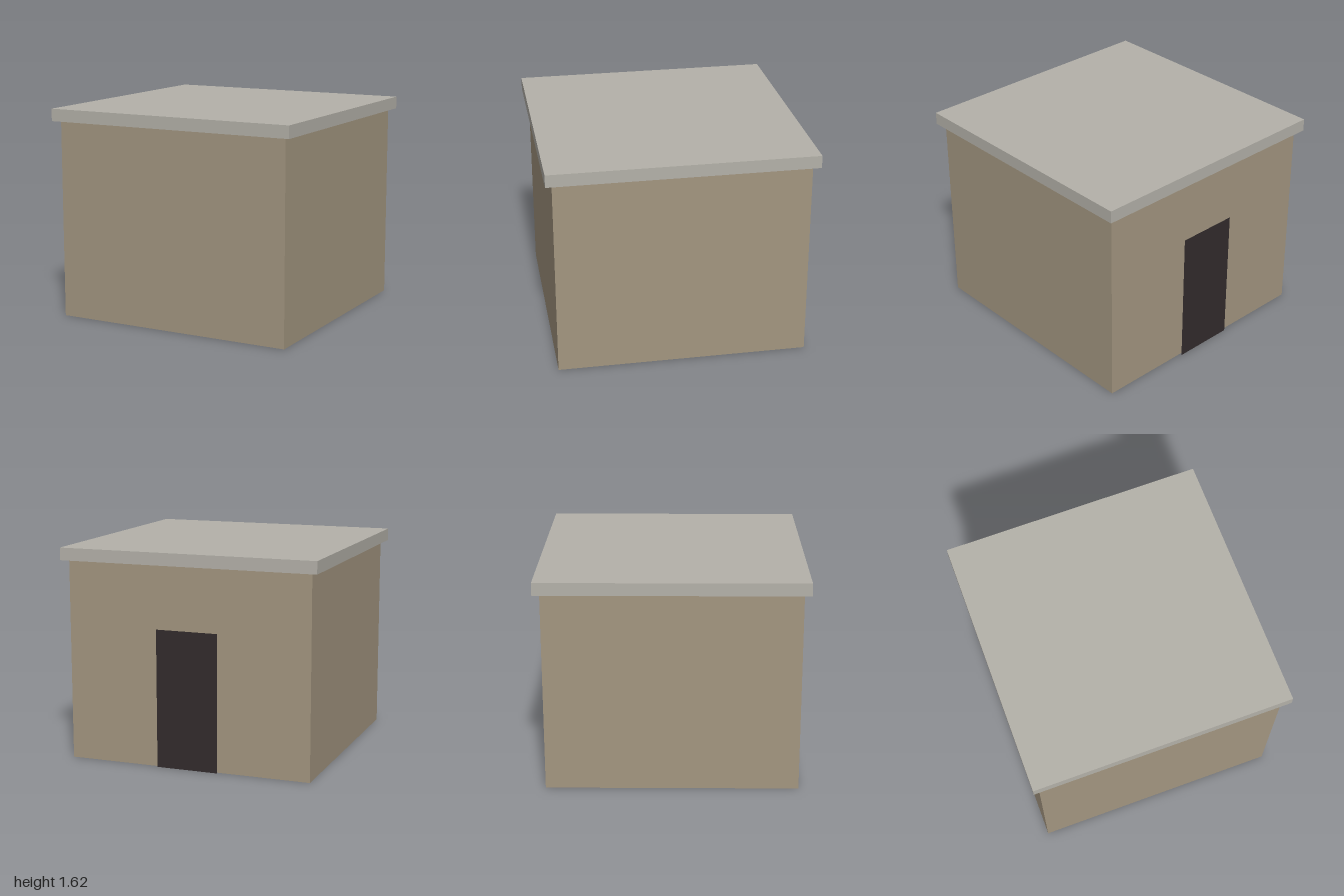
import * as THREE from 'three';

export function createModel() {
  const wallPaint = new THREE.MeshStandardMaterial({ color: 0xa39680, side: THREE.DoubleSide });
  wallPaint.name = 'tan wall';
  const roofPaint = new THREE.MeshStandardMaterial({ color: 0xb4b1a9 });
  roofPaint.name = 'grey roof';
  const doorPaint = new THREE.MeshStandardMaterial({ color: 0x322b2c, side: THREE.DoubleSide });
  doorPaint.name = 'dark door';

  const half = 0.95, wallHeight = 1.53, roofThickness = 0.095;
  const model = new THREE.Group();
  model.name = 'hut';

  const add = (name, geometry, material, parent = model) => {
    const mesh = new THREE.Mesh(geometry, material);
    mesh.name = name;
    parent.add(mesh);
    return mesh;
  };

  // Four thin walls around a room that is open underneath
  const walls = new THREE.Group();
  walls.name = 'walls';
  model.add(walls);
  ['frontWall', 'leftWall', 'backWall', 'rightWall'].forEach((name, i) => {
    const panel = new THREE.PlaneGeometry(half * 2, wallHeight)
      .translate(0, wallHeight / 2, half)
      .rotateY(i * Math.PI / 2);
    add(name, panel, wallPaint, walls);
  });

  // Flat roof slab with a small overhang
  add('roof', new THREE.BoxGeometry(2, roofThickness, 2), roofPaint)
    .position.y = wallHeight + roofThickness / 2;

  // Door panel standing just off the back wall
  const doorHeight = 1.05;
  const door = add('door', new THREE.PlaneGeometry(0.48, doorHeight), doorPaint);
  door.position.set(0, doorHeight / 2, -half - 0.02);
  door.rotation.y = Math.PI;

  return model;
}
